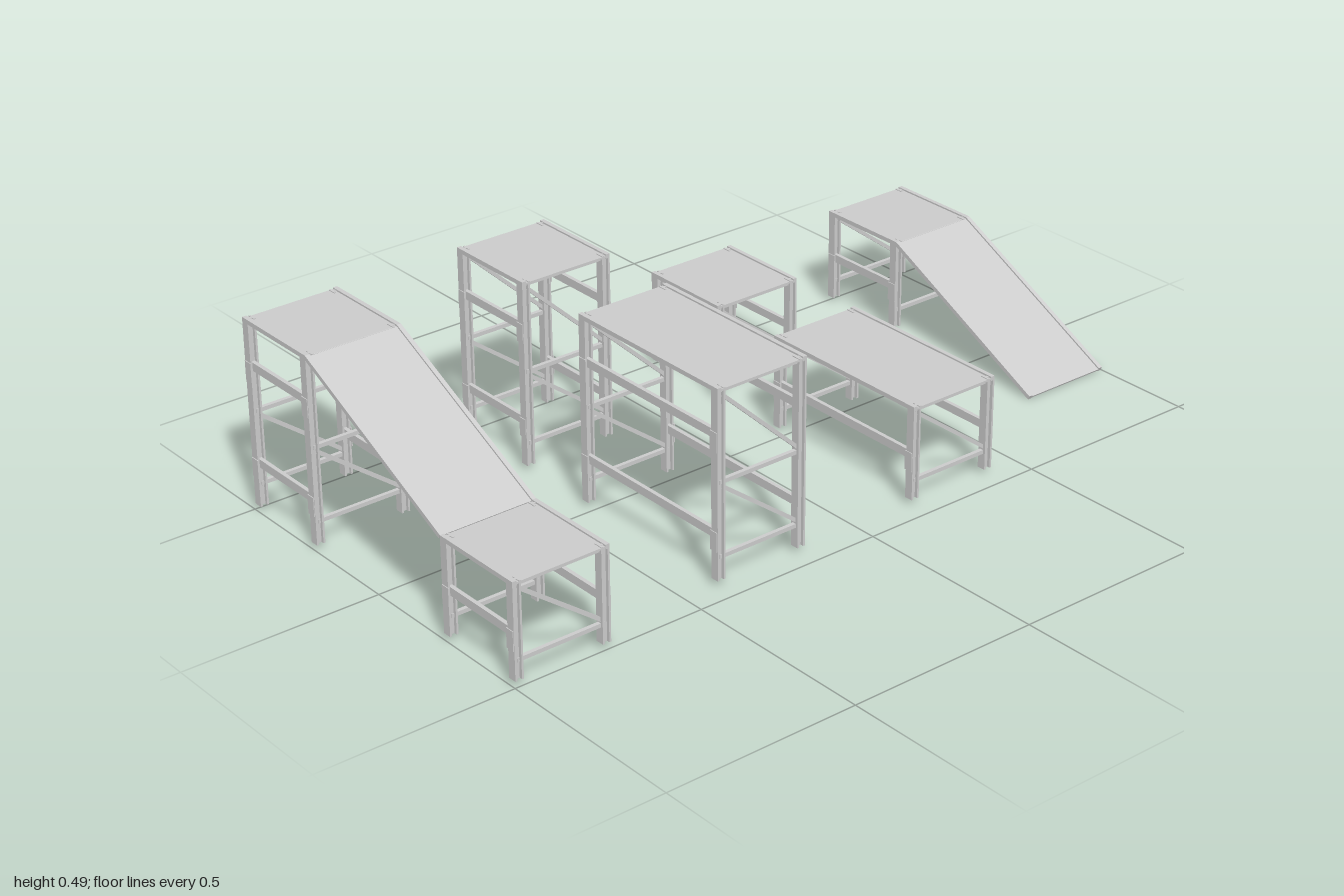
import * as THREE from 'three';

const mat = new THREE.MeshStandardMaterial({ color: 0xcccccc, flatShading: true });
const DEPTH = 0.252;          // platform depth along z
const LEG = 0.022;            // leg width
const LOW = 0.254, TALL = 0.488;

function box(parent, name, w, h, d, x, y, z) {
  const m = new THREE.Mesh(new THREE.BoxGeometry(w, h, d), mat);
  m.name = name;
  m.position.set(x, y, z);
  parent.add(m);
  return m;
}

// Thin bar across the depth between two (y, z) points
function crossBar(parent, name, x, y0, z0, y1, z1, t) {
  const dy = y1 - y0, dz = z1 - z0;
  const m = box(parent, name, t, t, Math.hypot(dy, dz), x, (y0 + y1) / 2, (z0 + z1) / 2);
  m.rotation.x = -Math.atan2(dy, dz);
}

// H-section, drawn in plan and extruded upward
function legGeometry(height) {
  const a = LEG / 2, f = 0.005, w = 0.003;
  const s = new THREE.Shape();
  [[-a, -a], [a, -a], [a, -a + f], [w, -a + f], [w, a - f], [a, a - f],
    [a, a], [-a, a], [-a, a - f], [-w, a - f], [-w, -a + f], [-a, -a + f]]
    .forEach(([x, y], i) => (i ? s.lineTo(x, y) : s.moveTo(x, y)));
  return new THREE.ExtrudeGeometry(s, { depth: height, bevelEnabled: false }).rotateX(-Math.PI / 2);
}

// Sheet with a raised strip along both long edges; its top is at local y = 0
function deck(parent, name, length) {
  const g = new THREE.Group();
  g.name = name;
  box(g, 'deckSheet', length, 0.005, DEPTH - 0.02, 0, -0.0065, 0);
  for (const s of [-1, 1]) box(g, 'deckEdge', length, 0.011, 0.011, 0, -0.0055, s * (DEPTH / 2 - 0.0055));
  parent.add(g);
  return g;
}

function platform(parent, name, x0, x1, z, top) {
  const g = new THREE.Group();
  g.name = name;
  g.position.z = z;
  parent.add(g);
  const tall = top === TALL, cx = (x0 + x1) / 2, len = x1 - x0;
  const zl = DEPTH / 2 - LEG / 2, foot = 0.015;
  const railHeights = tall ? [0.125, 0.37] : [0.125];

  deck(g, 'deck', len).position.set(cx, top, 0);

  const legGeo = legGeometry(top - 0.002 - foot);
  for (const sx of [-1, 1]) {
    const x = cx + sx * (len / 2 - LEG / 2);
    for (const sz of [-1, 1]) {
      const leg = new THREE.Mesh(legGeo, mat);
      leg.name = 'leg';
      leg.position.set(x, foot, sz * zl);
      g.add(leg);
      // Joint plates on the outside of the leg
      for (const y of railHeights)
        box(g, 'jointPlate', LEG + 0.001, 0.048, 0.003, x - sx * 0.002, y - 0.013, sz * (DEPTH / 2 + 0.0005));
    }
    // Ties and diagonal braces between front and back legs
    const ties = tall ? [0.07, 0.255, 0.478] : [0.06, 0.243];
    ties.forEach((y, i) => {
      crossBar(g, 'tie', x, y, -zl, y, zl, 0.01);
      if (i) crossBar(g, 'diagonalBrace', x, ties[i - 1] + 0.012, -zl + 0.008, y - 0.012, zl - 0.008, 0.009);
    });
  }
  // Long rails, front and back
  for (const y of railHeights)
    for (const sz of [-1, 1]) box(g, 'rail', len - LEG, 0.021, 0.01, cx, y, sz * zl);
}

function ramp(parent, name, x0, y0, x1, y1, z) {
  const g = deck(parent, name, Math.hypot(x1 - x0, y1 - y0));
  g.position.set((x0 + x1) / 2, (y0 + y1) / 2, z);
  g.rotation.z = Math.atan2(y1 - y0, x1 - x0);
}

export function createModel() {
  const model = new THREE.Group();
  model.name = 'rampCourse';

  // Front row: tall platform, ramp, low platform
  platform(model, 'frontTallPlatform', -0.5, -0.246, 0.871, TALL);
  ramp(model, 'frontRamp', -0.246, TALL, 0.243, LOW, 0.871);
  platform(model, 'frontLowPlatform', 0.243, 0.498, 0.871, LOW);

  // Middle rows: one short and one long platform each
  for (const [row, z, top] of [['tall', 0.286, TALL], ['low', -0.29, LOW]]) {
    platform(model, row + 'ShortPlatform', -0.5, -0.246, z, top);
    platform(model, row + 'LongPlatform', -0.036, 0.45, z, top);
  }

  // Back row: low platform with a ramp to the ground
  platform(model, 'backLowPlatform', -0.5, -0.246, -0.872, LOW);
  ramp(model, 'backRamp', -0.246, LOW, 0.243, 0.011, -0.872);
  return model;
}
